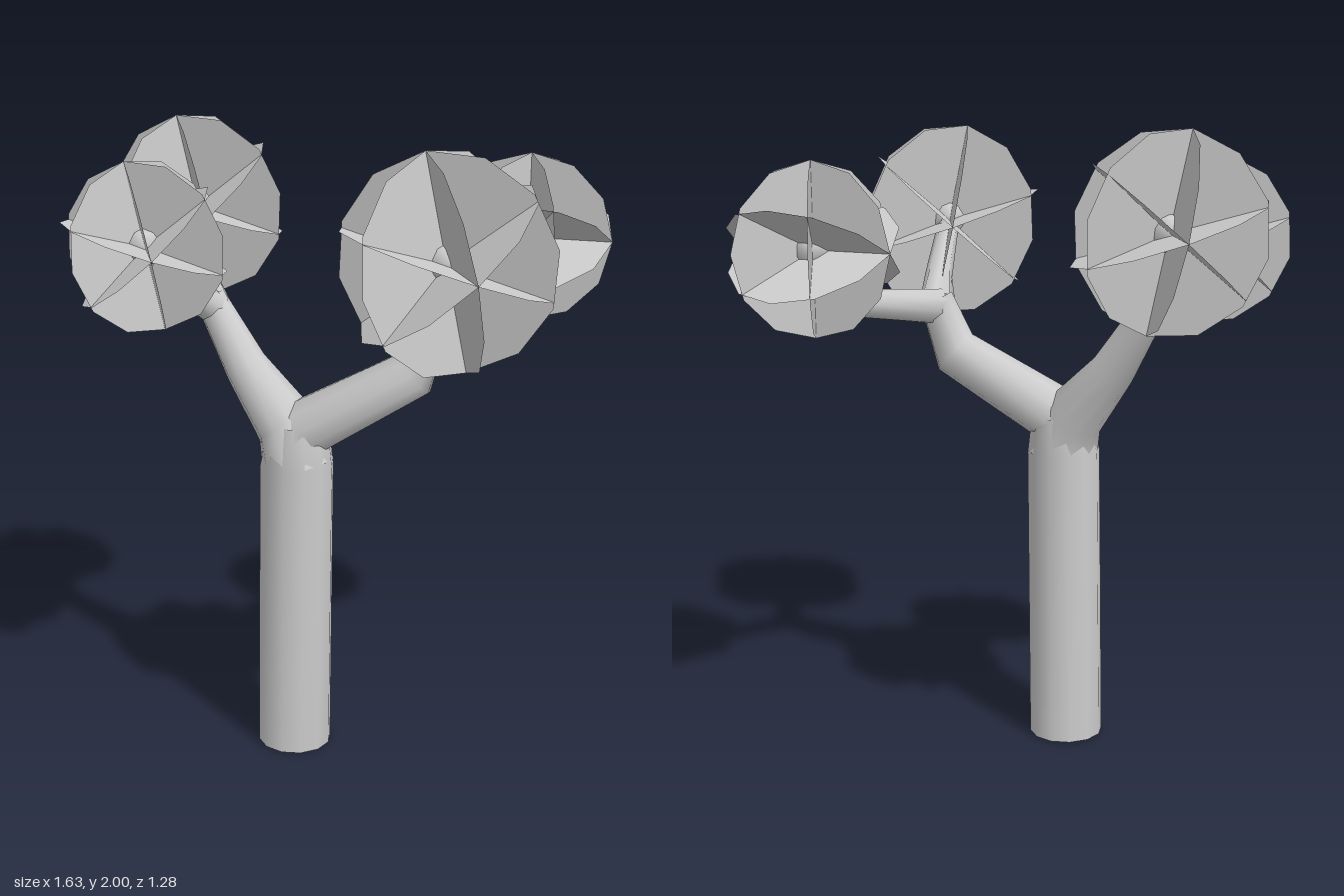
import * as THREE from 'three';
import { mergeGeometries } from 'three/addons/utils/BufferGeometryUtils.js';

const bark = new THREE.MeshStandardMaterial({ color: 0xcccccc });
const leaf = new THREE.MeshStandardMaterial({ color: 0xcccccc, side: THREE.DoubleSide });

// Tapered limb swept through points [x, y, z, radius]
function limb(name, points, sides = 10) {
  const centres = points.map(([x, y, z]) => new THREE.Vector3(x, y, z));
  const pos = [], index = [];
  centres.forEach((c, i) => {
    const before = centres[Math.max(i - 1, 0)];
    const after = centres[Math.min(i + 1, centres.length - 1)];
    const t = after.clone().sub(before).normalize();
    const u = new THREE.Vector3(0, 0, 1).addScaledVector(t, -t.z).normalize();
    const v = new THREE.Vector3().crossVectors(t, u);
    for (let k = 0; k < sides; k++) {
      const a = (k / sides) * Math.PI * 2;
      const p = c.clone()
        .addScaledVector(u, Math.cos(a) * points[i][3])
        .addScaledVector(v, Math.sin(a) * points[i][3]);
      pos.push(p.x, p.y, p.z);
      if (i > 0) {
        const n = (k + 1) % sides, lo = (i - 1) * sides, hi = i * sides;
        index.push(lo + k, lo + n, hi + n, lo + k, hi + n, hi + k);
      }
    }
  });
  const geo = new THREE.BufferGeometry();
  geo.setAttribute('position', new THREE.Float32BufferAttribute(pos, 3));
  geo.setIndex(index);
  geo.computeVertexNormals();
  const mesh = new THREE.Mesh(geo, bark);
  mesh.name = name;
  return mesh;
}

// Leaf clump: twelve-sided discs crossing at 60 degrees
function clump(name, centre, radius, tilted) {
  const third = Math.PI / 3;
  const disc = () => new THREE.CircleGeometry(radius, 12);
  const geo = mergeGeometries([
    disc(),
    disc().rotateY(third), disc().rotateY(-third),
    disc().rotateX(third), disc().rotateX(-third),
  ]);
  if (tilted) geo.rotateY(-third).rotateX(0.1).rotateZ(0.18);
  const mesh = new THREE.Mesh(geo, leaf);
  mesh.name = name;
  mesh.position.set(...centre);
  return mesh;
}

export function createModel() {
  const tree = new THREE.Group();
  tree.name = 'tree';

  // Trunk with a flat base
  tree.add(limb('trunk', [
    [-0.07, 0, 0.095, 0.12], [-0.055, 0.96, 0.1, 0.117], [-0.05, 1.09, 0.09, 0.095],
  ], 12));
  const base = new THREE.Mesh(new THREE.CircleGeometry(0.12, 12).rotateX(Math.PI / 2), bark);
  base.name = 'trunkBase';
  base.position.set(-0.07, 0, 0.095);
  tree.add(base);

  // Main branches
  tree.add(limb('leftBranch', [
    [-0.06, 0.98, 0.1, 0.1], [-0.03, 1.08, 0.09, 0.095], [0.3, 1.27, 0.03, 0.08], [0.355, 1.45, 0, 0.055],
  ]));
  tree.add(limb('rightBranch', [
    [-0.05, 0.95, 0.1, 0.115], [-0.09, 1.08, 0.09, 0.1], [-0.245, 1.25, 0.05, 0.07], [-0.38, 1.45, 0.01, 0.05],
  ]));

  // Twigs ending in rounded tips, each inside a leaf clump
  const leftFork = [0.35, 1.42, 0, 0.06], rightFork = [-0.36, 1.42, 0.015, 0.055];
  const twigs = [
    { side: 'leftBack', fork: leftFork, bend: [0.48, 1.46, -0.29, 0.045], tip: [0.545, 1.63, -0.41], r: 0.268 },
    { side: 'leftFront', fork: leftFork, bend: [0.42, 1.5, 0.14, 0.045], tip: [0.475, 1.67, 0.32], r: 0.32, tilted: true },
    { side: 'rightBack', fork: rightFork, bend: [-0.45, 1.53, -0.07, 0.045], tip: [-0.52, 1.705, -0.215], r: 0.298, tilted: true },
    { side: 'rightFront', fork: rightFork, bend: [-0.42, 1.5, 0.12, 0.042], tip: [-0.48, 1.65, 0.26], r: 0.262, tilted: true },
  ];
  for (const { side, fork, bend, tip, r, tilted } of twigs) {
    tree.add(limb(side + 'Twig', [fork, bend, [...tip, 0.035]], 8));
    const knob = new THREE.Mesh(new THREE.SphereGeometry(0.057, 6, 5), bark);
    knob.name = side + 'TwigTip';
    knob.position.set(...tip);
    tree.add(knob, clump(side + 'Leaves', tip, r, tilted));
  }
  return tree;
}
